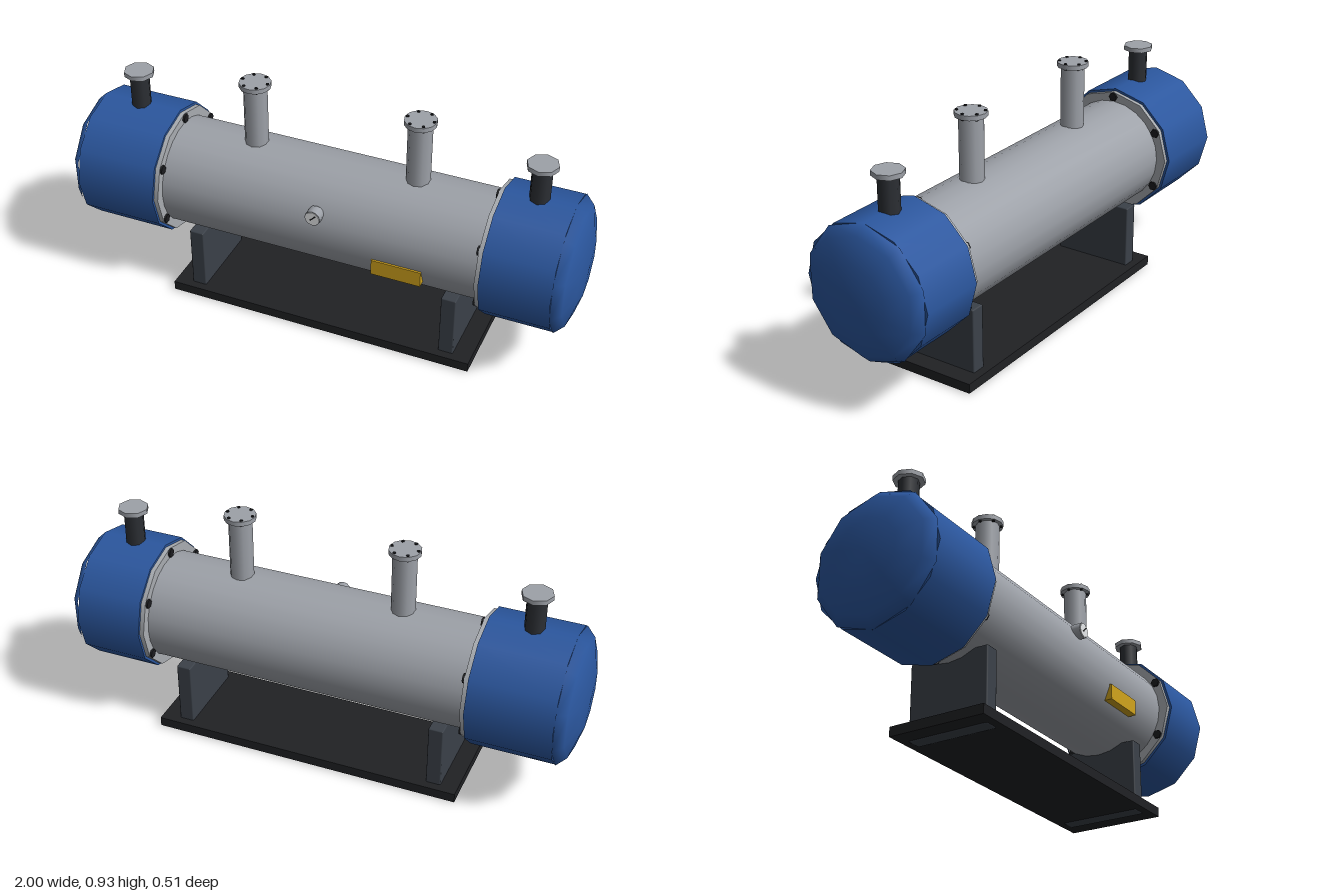
import * as THREE from 'three';
import { RoundedBoxGeometry } from 'three/addons/geometries/RoundedBoxGeometry.js';

const AXIS_Y = 0.465;
const mat = (color) => new THREE.MeshStandardMaterial({ color });

export function createModel() {
  const model = new THREE.Group();
  const blue = mat(0x2b579f), steel = mat(0x9da1a8), paleSteel = mat(0xa9adb2);
  const dark = mat(0x2c2f34), bolt = mat(0x1b1c1f), saddleGrey = mat(0x3b4149);
  const baseGrey = mat(0x202124), yellow = mat(0xd0a31c), white = mat(0xe6e8ea);

  const add = (parent, name, geometry, material, x = 0, y = 0, z = 0) => {
    const mesh = new THREE.Mesh(geometry, material);
    mesh.name = name;
    mesh.position.set(x, y, z);
    parent.add(mesh);
    return mesh;
  };

  // Upright cylinder between two heights
  const upright = (parent, name, r, y0, y1, sides, material, x = 0, z = 0) =>
    add(parent, name, new THREE.CylinderGeometry(r, r, y1 - y0, sides), material, x, (y0 + y1) / 2, z);

  // Cylinder lying along x between two stations on the vessel axis
  const lying = (parent, name, r, x0, x1, sides, material, y = AXIS_Y, z = 0) => {
    const mesh = add(parent, name, new THREE.CylinderGeometry(r, r, x1 - x0, sides), material, (x0 + x1) / 2, y, z);
    mesh.rotation.z = Math.PI / 2;
    return mesh;
  };

  // Main vessel
  lying(model, 'shell', 0.207, -0.62, 0.68, 24, steel);

  // End heads: drum, shallow dome, bolted flange
  const heads = [
    { name: 'rightHead', side: -1, inner: -0.61 },
    { name: 'leftHead', side: 1, inner: 0.67 },
  ];
  for (const { name, side, inner } of heads) {
    const head = new THREE.Group();
    head.name = name;
    model.add(head);
    const rim = side * 0.93;
    lying(head, 'headDrum', 0.255, Math.min(inner, rim), Math.max(inner, rim), 12, blue);

    const domeGeometry = new THREE.SphereGeometry(0.255, 10, 3, 0, Math.PI * 2, 0, Math.PI / 2);
    domeGeometry.scale(1, 0.07 / 0.255, 1);
    const dome = add(head, 'headDome', domeGeometry, blue, rim, AXIS_Y, 0);
    dome.rotation.z = -side * Math.PI / 2;

    const face = inner - side * 0.017;
    lying(head, 'headFlange', 0.245, Math.min(inner, face), Math.max(inner, face), 12, paleSteel);
    for (let i = 0; i < 6; i++) {
      const a = Math.PI / 6 + i * Math.PI / 3;
      lying(head, 'flangeBolt', 0.018, face - 0.008, face + 0.008, 6, bolt,
        AXIS_Y + 0.226 * Math.sin(a), 0.226 * Math.cos(a));
    }
  }

  // Tall shell nozzles with bolted flanges
  for (const x of [-0.29, 0.35]) {
    const nozzle = new THREE.Group();
    nozzle.name = 'shellNozzle';
    nozzle.position.x = x;
    model.add(nozzle);
    upright(nozzle, 'nozzlePipe', 0.045, 0.65, 0.91, 10, steel);
    upright(nozzle, 'nozzleFlange', 0.06, 0.906, 0.924, 12, steel);
    for (let i = 0; i < 6; i++) {
      const a = i * Math.PI / 3;
      upright(nozzle, 'nozzleBolt', 0.006, 0.902, 0.928, 6, bolt, 0.05 * Math.cos(a), 0.05 * Math.sin(a));
    }
  }

  // Short dark nozzles on the heads
  for (const x of [-0.775, 0.797]) {
    const nozzle = new THREE.Group();
    nozzle.name = 'headNozzle';
    nozzle.position.x = x;
    model.add(nozzle);
    upright(nozzle, 'nozzlePipe', 0.038, 0.69, 0.845, 8, dark);
    upright(nozzle, 'nozzleFlange', 0.058, 0.842, 0.86, 8, steel);
  }

  // Dial gauge with needle
  const gauge = new THREE.Group();
  gauge.name = 'gauge';
  gauge.position.set(0.03, 0.55, 0);
  model.add(gauge);
  const disc = (name, r, z0, z1, material) => {
    const mesh = add(gauge, name, new THREE.CylinderGeometry(r, r, z1 - z0, 12), material, 0, 0, (z0 + z1) / 2);
    mesh.rotation.x = Math.PI / 2;
  };
  disc('gaugeBody', 0.03, 0.18, 0.221, steel);
  disc('gaugeDial', 0.027, 0.215, 0.223, white);
  const needle = add(gauge, 'gaugeNeedle', new THREE.BoxGeometry(0.028, 0.004, 0.003), bolt, 0.003, 0.003, 0.2235);
  needle.rotation.z = Math.PI / 4;

  // Data plate
  add(model, 'dataPlate', new THREE.BoxGeometry(0.19, 0.062, 0.034), yellow, 0.35, 0.39, 0.192);

  // Saddles and base
  for (const x of [-0.485, 0.54]) {
    add(model, 'saddle', new RoundedBoxGeometry(0.058, 0.29, 0.32, 1, 0.005), saddleGrey, x, 0.145, 0);
  }
  add(model, 'basePlate', new THREE.BoxGeometry(1.22, 0.037, 0.384), baseGrey, 0.03, 0.0225, 0);

  return model;
}
